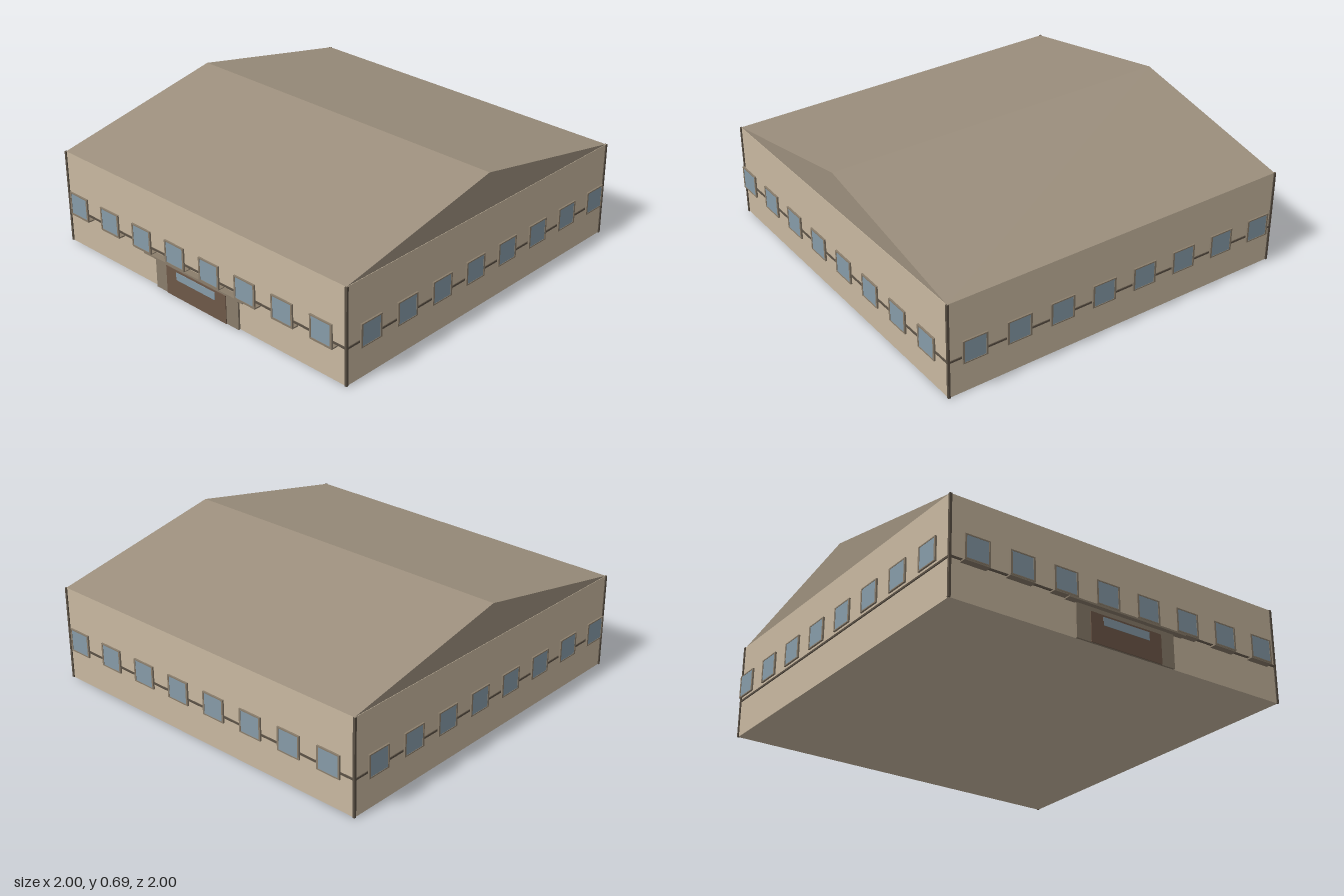
import * as THREE from 'three';

const mat = (color) => new THREE.MeshStandardMaterial({ color });

export function createModel() {
  const model = new THREE.Group();
  const wall = mat(0xc8b8a0), roofing = mat(0x9c8f7d), trim = mat(0x5b5145);
  const frame = mat(0x8a7d6b), glass = mat(0x869ba8), wood = mat(0x6e5848);

  // Box given by its lower and upper corners
  const box = (name, material, [x0, y0, z0], [x1, y1, z1], parent = model) => {
    const mesh = new THREE.Mesh(new THREE.BoxGeometry(x1 - x0, y1 - y0, z1 - z0), material);
    mesh.position.set((x0 + x1) / 2, (y0 + y1) / 2, (z0 + z1) / 2);
    mesh.name = name;
    parent.add(mesh);
    return mesh;
  };

  // Main hall
  const W = 0.962, H = 0.505;
  box('walls', wall, [-W, 0, -W], [W, H, W]);

  // Gable roof, ridge running left to right
  const gable = new THREE.Shape([
    new THREE.Vector2(-W, H), new THREE.Vector2(W, H), new THREE.Vector2(0, 0.695),
  ]);
  const roof = new THREE.Mesh(
    new THREE.ExtrudeGeometry(gable, { depth: 1.92, bevelEnabled: false }).translate(0, 0, -0.96), roofing);
  roof.rotation.y = Math.PI / 2;
  roof.name = 'roof';
  model.add(roof);

  // Corner posts
  for (const sx of [-1, 1]) for (const sz of [-1, 1]) {
    const post = box('cornerPost', trim, [-0.006, 0, -0.006], [0.006, H, 0.006]);
    post.position.x = sx * 0.961;
    post.position.z = sz * 0.961;
  }

  // Each side: belt course and a row of eight windows standing off the wall
  ['front', 'left', 'back', 'right'].forEach((side, i) => {
    const group = new THREE.Group();
    group.name = side + 'Facade';
    group.rotation.y = i * Math.PI / 2;
    box('beltCourse', trim, [-0.955, 0.191, 0.955], [0.955, 0.201, 0.967], group);
    for (let k = 0; k < 8; k++) {
      const x = (k - 3.5) * 0.24;
      // Four frame bars around the pane
      for (const s of [-1, 1]) {
        const cx = x + s * 0.0625;
        box('windowJamb', frame, [cx - 0.005, 0.187, 0.991], [cx + 0.005, 0.309, 1], group);
        const cy = 0.248 + s * 0.058;
        box('windowRail', frame, [x - 0.0675, cy - 0.003, 0.991], [x + 0.0675, cy + 0.003, 1], group);
      }
      box('windowPane', glass, [x - 0.058, 0.193, 0.992], [x + 0.058, 0.303, 0.998], group);
      // Sills on the front only
      if (side === 'front')
        box('windowSill', frame, [x - 0.0675, 0.181, 0.96], [x + 0.0675, 0.188, 0.998], group);
    }
    model.add(group);
  });

  // Entrance
  box('doorSurround', frame, [-0.288, 0, 0.955], [0.288, 0.178, 0.973]);
  box('door', wood, [-0.208, 0, 0.96], [0.208, 0.152, 0.977]);
  box('doorWindow', glass, [-0.135, 0.1, 0.965], [0.135, 0.142, 0.979]);
  box('entranceCanopy', frame, [-0.345, 0.175, 0.955], [0.345, 0.184, 0.998]);

  return model;
}
